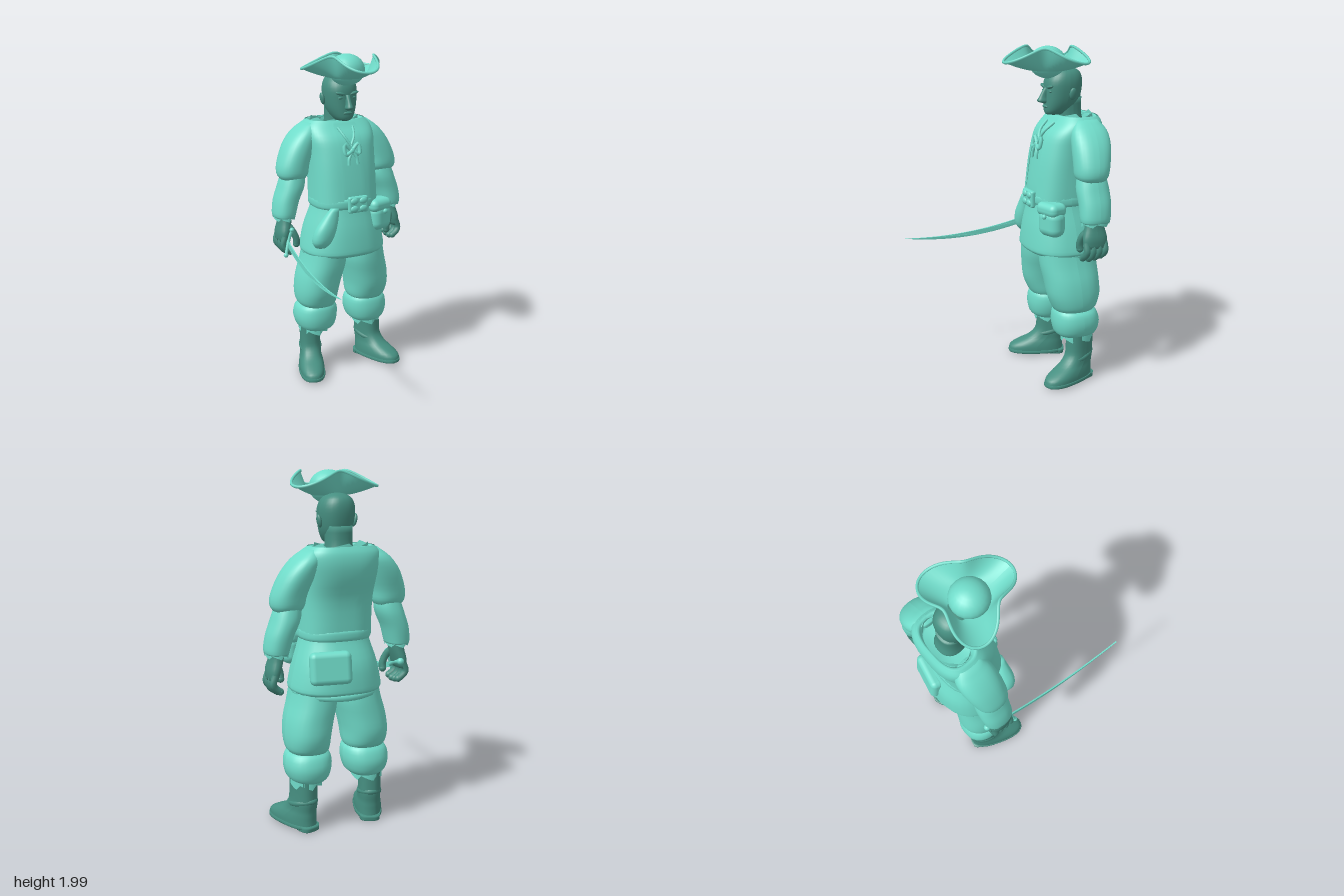
import * as THREE from 'three';
import { RoundedBoxGeometry } from 'three/addons/geometries/RoundedBoxGeometry.js';

const cloth = new THREE.MeshStandardMaterial({ color: 0x70dcca, side: THREE.DoubleSide });
cloth.name = 'light teal';
const skin = new THREE.MeshStandardMaterial({ color: 0x468f81, side: THREE.DoubleSide });
skin.name = 'dark teal';

const V = (x, y, z) => new THREE.Vector3(x, y, z);

// Smooth skin over rings [y, x, z, rx, rz], given bottom to top; an arc below a full turn stays open
function loft(rings, { n = 2.3, segs = 28, a0 = 0, a1 = Math.PI * 2, steps = 3 } = {}) {
  const mid = new THREE.CatmullRomCurve3(rings.map(r => V(r[1], r[0], r[2])), false, 'catmullrom');
  const rad = new THREE.CatmullRomCurve3(rings.map(r => V(r[3], 0, r[4])), false, 'catmullrom');
  const rows = (rings.length - 1) * steps, pos = [], idx = [], w = segs + 1;
  const bend = v => Math.sign(v) * Math.abs(v) ** (2 / n);
  for (let i = 0; i <= rows; i++) {
    const c = mid.getPoint(i / rows), r = rad.getPoint(i / rows);
    for (let j = 0; j <= segs; j++) {
      const a = a0 + (a1 - a0) * j / segs;
      pos.push(c.x + r.x * bend(Math.cos(a)), c.y, c.z + r.z * bend(Math.sin(a)));
      if (i < rows && j < segs) {
        const p = i * w + j;
        idx.push(p, p + w, p + 1, p + 1, p + w, p + w + 1);
      }
    }
  }
  if (a1 - a0 > 6.28) [0, rows].forEach(i => {
    const c = mid.getPoint(i / rows), k = pos.length / 3;
    pos.push(c.x, c.y, c.z);
    for (let j = 0; j < segs; j++) {
      const p = i * w + j;
      idx.push(k, i ? p + 1 : p, i ? p : p + 1);
    }
  });
  const g = new THREE.BufferGeometry();
  g.setAttribute('position', new THREE.Float32BufferAttribute(pos, 3));
  g.setIndex(idx);
  g.computeVertexNormals();
  return g;
}

// Thin open ring of cloth with a torn edge; dir is 1 for a torn top, -1 for a torn bottom
function ragged(rx, rz, h, dir) {
  const g = new THREE.CylinderGeometry(1, 1, h, 24, 1, true), p = g.attributes.position;
  for (let i = 0; i < p.count; i++) {
    const j = i % 25 % 24;
    if (p.getY(i) * dir > 0) p.setY(i, dir * h * (0.5 - 0.17 * (j * 7 % 4)));
  }
  g.scale(rx, 1, rz);
  g.computeVertexNormals();
  return g;
}

const tube = (pts, r, segs = 12) =>
  new THREE.TubeGeometry(new THREE.CatmullRomCurve3(pts.map(p => V(...p))), segs, r, 8);

export function createModel() {
  const model = new THREE.Group();
  const add = (name, geo, mat = cloth, x = 0, y = 0, z = 0, parent = model) => {
    const m = new THREE.Mesh(geo, mat);
    m.name = name;
    m.position.set(x, y, z);
    parent.add(m);
    return m;
  };
  const blob = (name, mat, x, y, z, a, b, c) =>
    add(name, new THREE.SphereGeometry(1, 20, 14).scale(a, b, c), mat, x, y, z);

  // Shirt with a sunken neckline, and the open vest over it
  const torso = [[1.08, 0, -.285, .185, .16], [1.15, 0, -.285, .188, .163], [1.3, 0, -.3, .188, .158],
    [1.42, 0, -.33, .194, .165], [1.5, 0, -.352, .204, .158], [1.56, 0, -.375, .2, .13], [1.598, 0, -.382, .168, .105]];
  add('shirt', loft([...torso, [1.545, 0, -.39, .135, .085]], { n: 2.8, segs: 40 }));
  const vest = torso.slice(1).map(r => [r[0], r[1], r[2], r[3] + .013, r[4] + .012]);
  vest[0][0] = 1.125;
  add('vest', loft(vest, { n: 2.8, segs: 48, a0: Math.PI / 2 + .24, a1: Math.PI * 2.5 - .24 }));
  add('collar', ragged(.155, .1, .05, 1), cloth, 0, 1.59, -.385);

  // Chest lacing with a bow
  for (const s of [-1, 1]) {
    add('lace', tube([[0, 1.43, -.155], [s * .045, 1.47, -.16], [s * .045, 1.41, -.145], [0, 1.43, -.15]], .012));
    add('laceEnd', tube([[0, 1.43, -.15], [s * .025, 1.39, -.14], [s * .03, 1.35, -.135]], .01));
    add('upperLace', tube([[0, 1.46, -.165], [s * .03, 1.51, -.187], [s * .05, 1.56, -.24]], .008));
  }
  blob('laceKnot', cloth, 0, 1.43, -.15, .018, .018, .014);

  // Skirt of the coat with its rolled hem, lower at the back
  add('skirt', loft([[.785, 0, -.3, .24, .195], [.8, 0, -.3, .257, .214], [.83, 0, -.3, .26, .218],
    [.95, 0, -.3, .234, .206], [1.06, 0, -.29, .2, .175], [1.12, 0, -.285, .185, .163]], { n: 2.4 }));
  add('skirtHem', new THREE.TorusGeometry(1, .07, 8, 36).rotateX(Math.PI / 2).scale(.24, .28, .195), cloth, 0, .796, -.31)
    .rotation.x = -.08;

  // Belt, buckle and things hung from it
  add('belt', loft([[1.085, 0, -.286, .197, .174], [1.1, 0, -.286, .203, .18], [1.13, 0, -.286, .203, .18],
    [1.145, 0, -.286, .195, .172]], { n: 2.6 }));
  add('buckle', new RoundedBoxGeometry(.13, .1, .03, 3, .012), cloth, .01, 1.115, -.1);
  for (const s of [-1, 1]) for (const t of [-1, 1])
    blob('buckleStud', cloth, .01 + s * .03, 1.115 + t * .024, -.086, .026, .02, .012);
  add('pouch', new RoundedBoxGeometry(.16, .16, .11, 4, .05), cloth, .188, 1.0, -.165).rotation.y = .35;
  add('pouchFlap', new RoundedBoxGeometry(.16, .08, .12, 4, .035), cloth, .18, 1.08, -.165).rotation.y = .3;
  blob('pouchButton', cloth, .205, 1.045, -.107, .015, .015, .012);
  add('hangingCloth', loft([[.86, -.205, -.17, .035, .035], [.9, -.2, -.16, .062, .052],
    [.97, -.18, -.15, .066, .05], [1.04, -.15, -.145, .048, .038], [1.1, -.125, -.135, .025, .022]]));
  const flap = add('backPouch', new RoundedBoxGeometry(.23, .18, .08, 3, .032), cloth, .1, .95, -.48);
  flap.rotation.set(.12, -.22, 0);

  for (const s of [-1, 1]) {
    const L = (name, rings, mat, opt) => add(name, loft(rings.map(r => [r[0], r[1] * s, ...r.slice(2)]), opt), mat);

    // Puffed sleeves
    L('upperSleeve', [[1.26, .3, -.355, .075, .078], [1.29, .3, -.355, .092, .096], [1.35, .292, -.36, .095, .104],
      [1.45, .252, -.374, .092, .113], [1.53, .207, -.382, .073, .105], [1.585, .17, -.382, .035, .065]]);
    L('lowerSleeve', [[1.03, .363, -.353, .062, .085], [1.06, .361, -.353, .068, .09], [1.13, .345, -.357, .073, .094],
      [1.2, .317, -.357, .077, .096], [1.25, .303, -.357, .074, .09], [1.3, .295, -.357, .06, .08]]);
    add('sleeveEdge', ragged(.062, .086, .035, -1), cloth, s * .364, 1.028, -.353);

    // Hands with curled fingers
    L('palm', [[.885, .388, -.345, .025, .068], [.94, .38, -.345, .036, .074], [1.0, .365, -.348, .038, .06],
      [1.06, .36, -.353, .038, .05]], skin);
    for (let i = 0; i < 4; i++) {
      const z = -.287 - i * .038, d = Math.abs(i - 1.3) * .008;
      add('finger', tube([[s * .386, .92, z], [s * .4, .87, z], [s * .388, .835 + d, z + .003],
        [s * .358, .812 + d, z + .005]], .02), skin);
      blob('fingertip', skin, s * .358, .812 + d, z + .005, .02, .02, .02);
    }
    add('thumb', tube([[s * .36, .99, -.32], [s * .335, .945, -.288], [s * .316, .895, -.28], [s * .315, .865, -.285]], .021), skin);
    blob('thumbTip', skin, s * .315, .865, -.285, .021, .021, .021);

    // Baggy breeches gathered at the knee
    L('breechesLeg', [[.45, .17, -.32, .108, .118], [.48, .174, -.322, .122, .138], [.55, .174, -.317, .129, .161],
      [.64, .16, -.308, .133, .168], [.74, .135, -.298, .13, .174], [.86, .125, -.29, .115, .17]]);
    L('breechesCuff', [[.285, .175, -.335, .088, .105], [.31, .177, -.333, .115, .13], [.37, .177, -.333, .132, .143],
      [.43, .174, -.327, .126, .133], [.46, .17, -.32, .1, .112]]);
    add('tornHem', ragged(.09, .1, .055, -1), cloth, s * .188, .275, -.34);

    // Boots turned slightly outward
    const boot = new THREE.Group();
    boot.name = 'boot';
    boot.position.set(s * .207, 0, -.35);
    boot.rotation.y = s * .34;
    model.add(boot);
    const B = (name, rings, n) => add(name, loft(rings, { n }), skin, 0, 0, 0, boot);
    B('bootUpper', [[.02, 0, .092, .078, .176], [.055, 0, .088, .078, .17], [.085, 0, .062, .073, .144],
      [.115, 0, .03, .066, .112], [.16, 0, .005, .065, .093], [.22, 0, 0, .064, .088], [.34, 0, 0, .066, .088]], 2.4);
    B('sole', [[.012, 0, .09, .08, .178], [.02, 0, .09, .082, .18], [.032, 0, .09, .08, .178]], 2.5);
    B('heel', [[0, 0, -.035, .058, .055], [.03, 0, -.035, .06, .057]], 3);
    const strap = add('bootStrap', new THREE.TorusGeometry(1, .12, 8, 28).rotateX(Math.PI / 2).scale(.064, .12, .094), skin, 0, .155, .006, boot);
    strap.rotation.x = .25;
  }

  // Head
  add('neck', loft([[1.53, 0, -.365, .085, .085], [1.6, 0, -.352, .073, .074], [1.7, 0, -.345, .075, .08]]), skin);
  add('head', loft([[1.6, 0, -.275, .035, .055], [1.615, 0, -.28, .055, .078], [1.66, 0, -.3, .08, .1],
    [1.72, 0, -.31, .094, .108], [1.79, 0, -.315, .098, .11], [1.84, 0, -.322, .08, .09],
    [1.865, 0, -.325, .045, .052], [1.872, 0, -.325, .008, .01]]), skin);
  add('nose', loft([[1.667, 0, -.2, .014, .015], [1.68, 0, -.188, .023, .034], [1.705, 0, -.192, .016, .026],
    [1.755, 0, -.208, .012, .014]]), skin);
  blob('lips', skin, 0, 1.648, -.203, .03, .009, .01);
  blob('chin', skin, 0, 1.617, -.222, .03, .018, .02);
  for (const s of [-1, 1]) {
    blob('ear', skin, s * .104, 1.725, -.33, .013, .036, .022).rotation.z = -s * .2;
    blob('brow', skin, s * .042, 1.762, -.212, .034, .01, .014).rotation.z = s * .22;
    blob('eye', skin, s * .042, 1.737, -.214, .018, .007, .009);
  }

  // Three-cornered hat: the edge dips outward at three lobes and rises between them
  const cz = -.215;
  const edge = (a, t) => {
    const k = Math.cos(3 * a), r = .095 + (.115 + .055 * k) * t;
    return V(r * Math.sin(a), 1.855 + (.09 - .04 * k) * t ** 1.4, cz + r * Math.cos(a));
  };
  const N = 72, M = 8, pos = [], idx = [];
  for (let i = 0; i <= M; i++) for (let j = 0; j <= N; j++) {
    pos.push(...edge(j / N * Math.PI * 2, i / M).toArray());
    if (i < M && j < N) {
      const p = i * (N + 1) + j;
      idx.push(p, p + N + 1, p + 1, p + 1, p + N + 1, p + N + 2);
    }
  }
  const brim = new THREE.BufferGeometry();
  brim.setAttribute('position', new THREE.Float32BufferAttribute(pos, 3));
  brim.setIndex(idx);
  brim.computeVertexNormals();
  add('hatBrim', brim);
  const rim = new THREE.CatmullRomCurve3(Array.from({ length: 48 }, (_, i) => edge(i / 48 * Math.PI * 2, 1)), true);
  add('hatTrim', new THREE.TubeGeometry(rim, 120, .008, 6, true));
  blob('hatCrown', cloth, 0, 1.9, cz, .108, .092, .108);

  // Curved sword held in the right hand
  const sh = new THREE.Shape();
  sh.moveTo(-.28, .9);
  sh.quadraticCurveTo(.12, .778, .54, .812);
  sh.quadraticCurveTo(.12, .738, -.28, .865);
  const blade = new THREE.ExtrudeGeometry(sh, { depth: .008, bevelEnabled: false, curveSegments: 20 }).rotateY(-Math.PI / 2);
  const bp = blade.attributes.position;
  for (let i = 0; i < bp.count; i++) {
    const t = (bp.getZ(i) + .28) / .82;
    bp.setX(i, bp.getX(i) - .371 - .085 * t + .025 * t * t);
  }
  blade.computeVertexNormals();
  add('swordBlade', blade);
  add('swordGrip', tube([[-.375, .88, -.27], [-.365, .91, -.34], [-.355, .93, -.42]], .014));
  blob('swordPommel', cloth, -.355, .932, -.425, .02, .02, .02);
  add('swordGuard', tube([[-.4, .815, -.25], [-.385, .86, -.262], [-.367, .91, -.272], [-.35, .96, -.267]], .01));
  for (const p of [[-.4, .815, -.25], [-.35, .962, -.267]]) blob('guardEnd', cloth, ...p, .014, .014, .014);

  return model;
}
